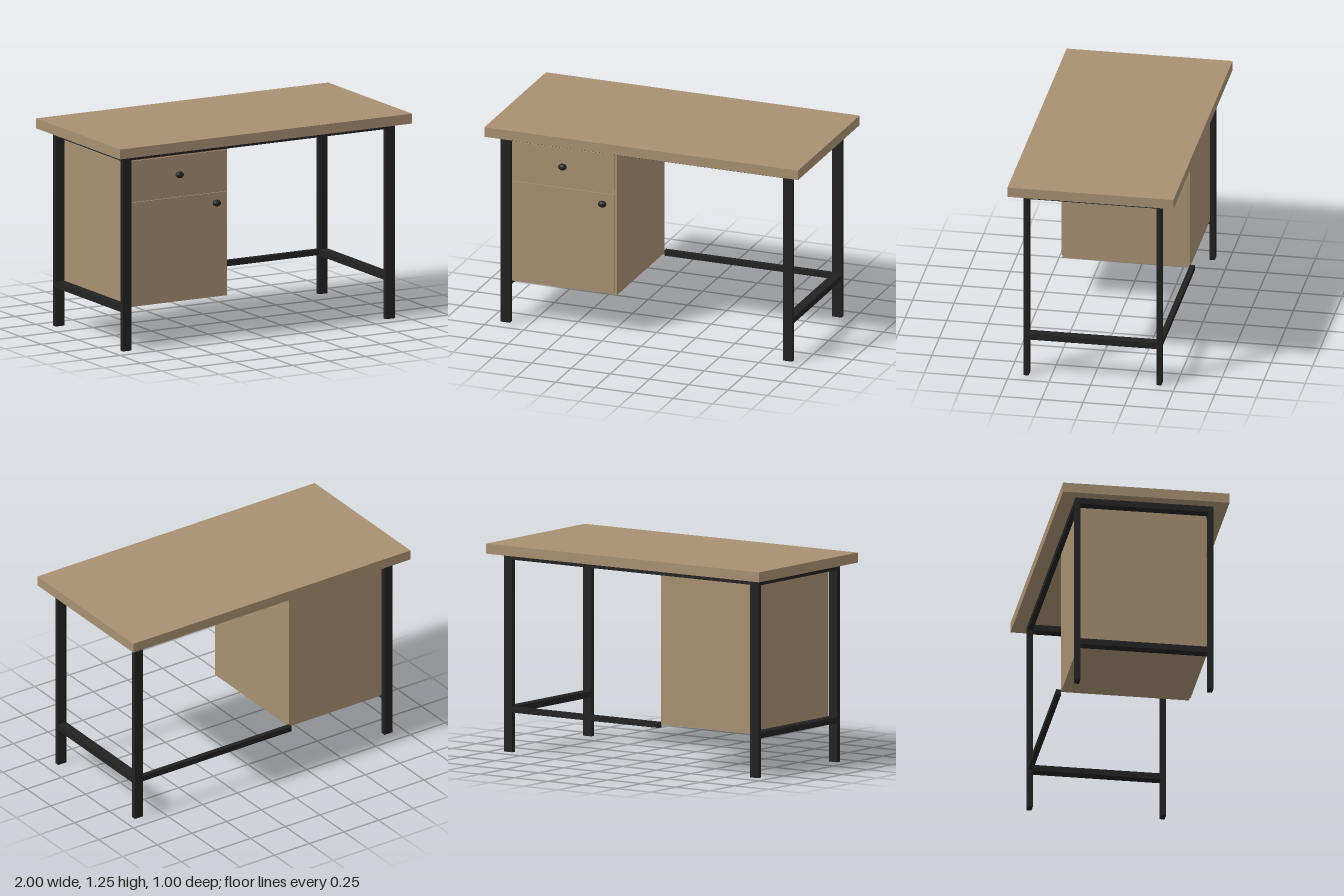
import * as THREE from 'three';

export function createModel() {
  const desk = new THREE.Group();
  desk.name = 'desk';
  const wood = new THREE.MeshStandardMaterial({ color: 0xa89072 });
  wood.name = 'wood';
  const metal = new THREE.MeshStandardMaterial({ color: 0x222222 });
  metal.name = 'blackMetal';

  // box given by its min and max along each axis
  function box(name, material, [x0, x1], [y0, y1], [z0, z1]) {
    const mesh = new THREE.Mesh(new THREE.BoxGeometry(x1 - x0, y1 - y0, z1 - z0), material);
    mesh.position.set((x0 + x1) / 2, (y0 + y1) / 2, (z0 + z1) / 2);
    mesh.name = name;
    desk.add(mesh);
  }

  box('tabletop', wood, [-1, 1], [1.19, 1.25], [-0.5, 0.5]);

  // legs and side rails, one frame at each end
  for (const [side, x] of [['left', [0.87, 0.93]], ['right', [-0.93, -0.87]]]) {
    box(side + 'FrontLeg', metal, x, [0, 1.19], [0.385, 0.415]);
    box(side + 'BackLeg', metal, x, [0, 1.19], [-0.415, -0.385]);
    box(side + 'TopRail', metal, x, [1.153, 1.19], [-0.385, 0.385]);
    box(side + 'LowerRail', metal, x, [0.235, 0.272], [-0.385, 0.385]);
  }

  // long rails under the top, and the back stretcher
  box('frontTopRail', metal, [-0.87, 0.87], [1.155, 1.19], [0.385, 0.415]);
  box('backTopRail', metal, [-0.87, 0.87], [1.155, 1.19], [-0.415, -0.385]);
  box('backStretcher', metal, [-0.2, 0.87], [0.238, 0.272], [-0.415, -0.385]);

  // cabinet with raised drawer and door fronts
  box('cabinet', wood, [-0.87, -0.2], [0.256, 1.155], [-0.386, 0.382]);
  box('drawerFront', wood, [-0.857, -0.214], [0.92, 1.142], [0.382, 0.391]);
  box('doorFront', wood, [-0.857, -0.214], [0.268, 0.89], [0.382, 0.391]);

  // flattened round knobs
  for (const [name, x, y] of [['drawerKnob', -0.538, 1.03], ['doorKnob', -0.284, 0.83]]) {
    const knob = new THREE.Mesh(new THREE.SphereGeometry(1, 20, 14), metal);
    knob.scale.set(0.026, 0.02, 0.02);
    knob.position.set(x, y, 0.409);
    knob.name = name;
    desk.add(knob);
  }
  return desk;
}
